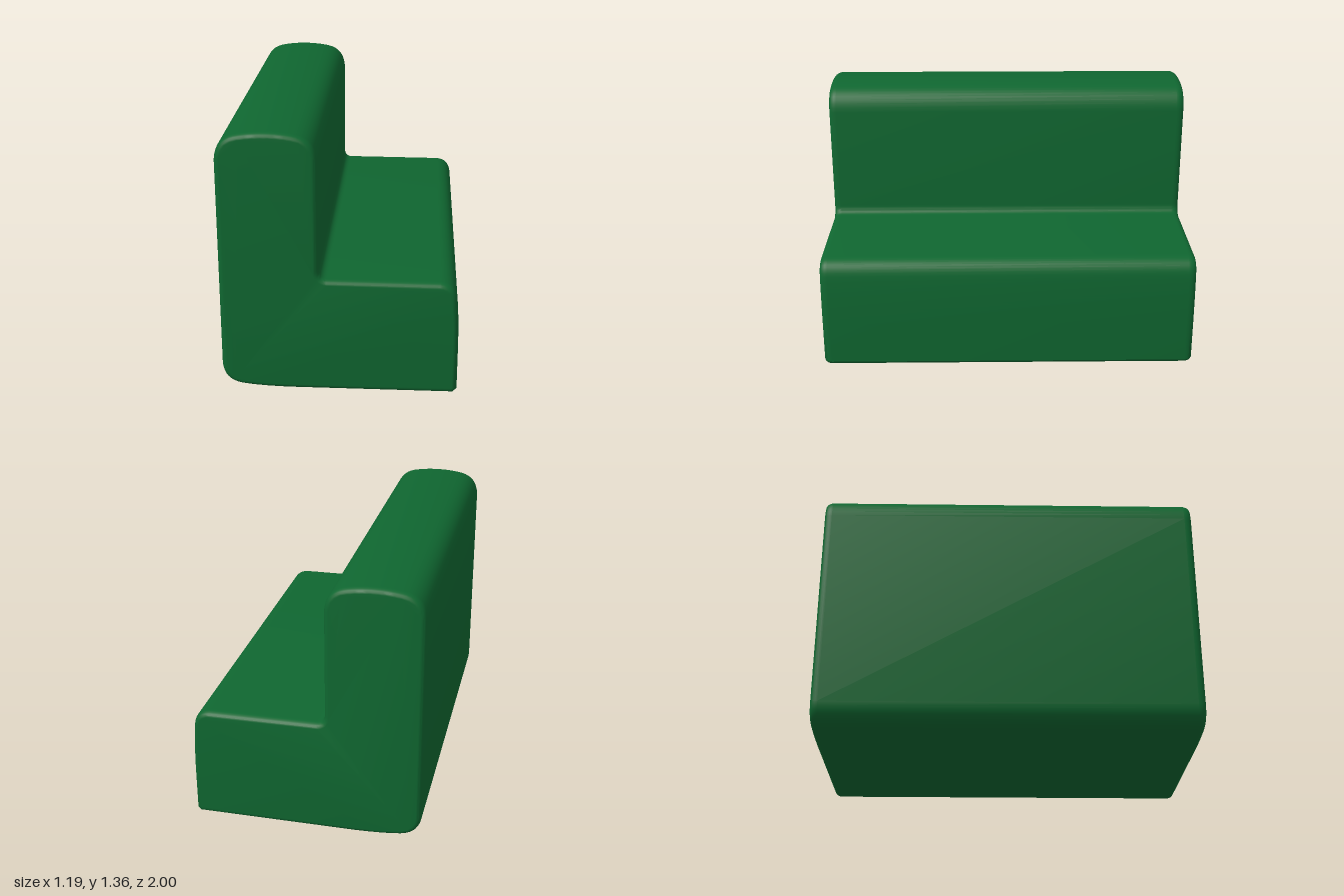
import * as THREE from 'three';
import { toCreasedNormals } from 'three/addons/utils/BufferGeometryUtils.js';

export function createModel() {
  const group = new THREE.Group();
  group.name = 'benchSeat';
  const upholstery = new THREE.MeshStandardMaterial({ color: 0x0f6630 });

  // L-shaped side profile: seat towards +x, backrest at -x
  const profile = new THREE.Shape();
  profile.moveTo(-0.25, 0);
  profile.lineTo(0.577, 0.002);
  profile.lineTo(0.597, 0.022);
  profile.lineTo(0.597, 0.25);
  // rounded seat front
  profile.quadraticCurveTo(0.596, 0.42, 0.585, 0.525);
  profile.quadraticCurveTo(0.575, 0.602, 0.5, 0.608);
  // fillet between seat and backrest
  profile.lineTo(-0.06, 0.61);
  profile.quadraticCurveTo(-0.1, 0.612, -0.1, 0.66);
  // softly crowned backrest top
  profile.lineTo(-0.1, 1.22);
  profile.quadraticCurveTo(-0.108, 1.325, -0.2, 1.347);
  profile.quadraticCurveTo(-0.27, 1.362, -0.35, 1.362);
  profile.quadraticCurveTo(-0.43, 1.362, -0.5, 1.347);
  profile.quadraticCurveTo(-0.59, 1.325, -0.598, 1.22);
  // rounded lower back edge
  profile.lineTo(-0.598, 0.13);
  profile.quadraticCurveTo(-0.594, 0.035, -0.5, 0.016);
  profile.quadraticCurveTo(-0.41, 0.002, -0.25, 0);

  // Extrude along the bench length with rounded end rims
  const rim = 0.04;
  const length = 2;
  const geometry = new THREE.ExtrudeGeometry(profile, {
    depth: length - 2 * rim,
    curveSegments: 8,
    bevelEnabled: true,
    bevelThickness: rim,
    bevelSize: 0.026,
    bevelOffset: -0.026,
    bevelSegments: 5,
  });
  geometry.translate(0, 0, rim - length / 2);
  geometry.deleteAttribute('uv');

  const bench = new THREE.Mesh(toCreasedNormals(geometry, 0.7), upholstery);
  bench.name = 'seatAndBackrest';
  group.add(bench);
  return group;
}
